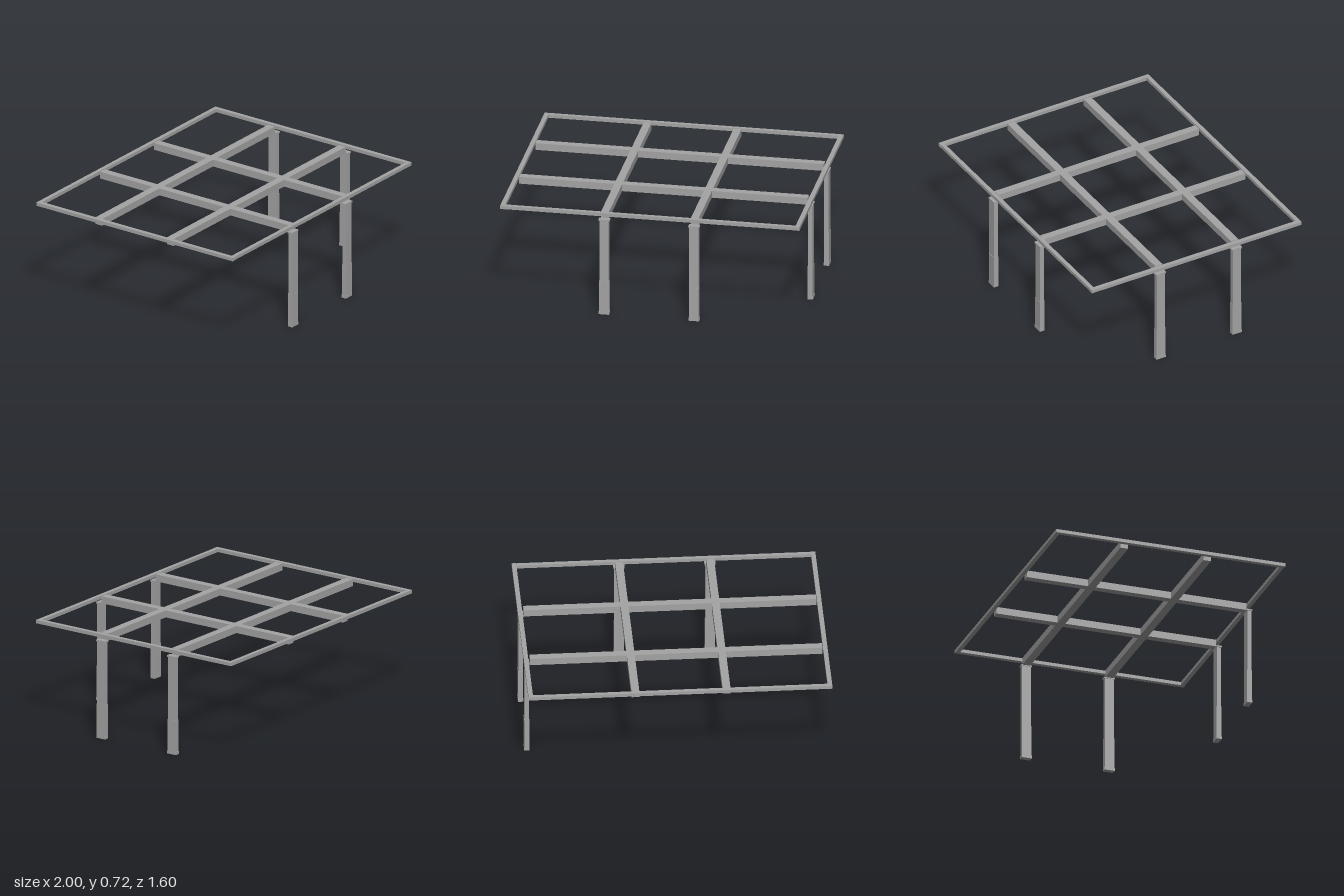
import * as THREE from 'three';

export function createModel() {
  const model = new THREE.Group();
  model.name = 'carportFrame';
  const steel = new THREE.MeshStandardMaterial({ color: 0xa4a4a4 });
  steel.name = 'grey steel';

  // Box given by its lower and upper corners
  function bar(parent, name, x0, x1, y0, y1, z0, z1) {
    const mesh = new THREE.Mesh(new THREE.BoxGeometry(x1 - x0, y1 - y0, z1 - z0), steel);
    mesh.position.set((x0 + x1) / 2, (y0 + y1) / 2, (z0 + z1) / 2);
    mesh.name = name;
    parent.add(mesh);
  }

  // Thin outer rim
  const TOP = 0.72, RIM = 0.697;
  bar(model, 'leftRail', 0.97, 1, RIM, TOP, -0.8, 0.795);
  bar(model, 'rightRail', -1, -0.97, RIM, TOP, -0.8, 0.795);
  bar(model, 'backRail', -0.97, 0.97, RIM, TOP, -0.8, -0.772);
  bar(model, 'frontRail', -0.97, 0.97, RIM, TOP, 0.765, 0.793);

  // Deeper crossing joists inside the rim
  const JOIST = 0.67, joistTop = 0.718;
  const crossX = [-0.305, 0.295], crossZ = [-0.315, 0.263];
  for (const z of crossZ) bar(model, 'crossJoist', -0.967, 0.96, JOIST, joistTop, z - 0.027, z + 0.027);
  // Long joists are cut where they meet the cross joists
  const cuts = [-0.768, crossZ[0] - 0.027, crossZ[0] + 0.027, crossZ[1] - 0.027, crossZ[1] + 0.027, 0.762];
  for (const x of crossX) {
    for (let i = 0; i < cuts.length; i += 2) {
      bar(model, 'longJoist', x - 0.026, x + 0.026, JOIST, joistTop, cuts[i], cuts[i + 1]);
    }
  }

  // Post with foot plate, lower sleeve and cap; its outer face points to +z
  function post(x, z, turn) {
    const group = new THREE.Group();
    group.name = 'post';
    bar(group, 'shaft', -0.031, 0.031, 0.235, 0.664, -0.015, 0.015);
    bar(group, 'sleeve', -0.033, 0.033, 0.02, 0.235, -0.017, 0.017);
    bar(group, 'footPlate', -0.035, 0.035, 0, 0.02, -0.018, 0.018);
    bar(group, 'capPlate', -0.037, 0.037, 0.664, 0.675, -0.018, 0.018);
    group.position.set(x, 0, z);
    group.rotation.y = turn;
    model.add(group);
  }
  for (const x of crossX) post(x, 0.781, 0);
  for (const z of crossZ) post(0.98, z + 0.004, Math.PI / 2);

  return model;
}
